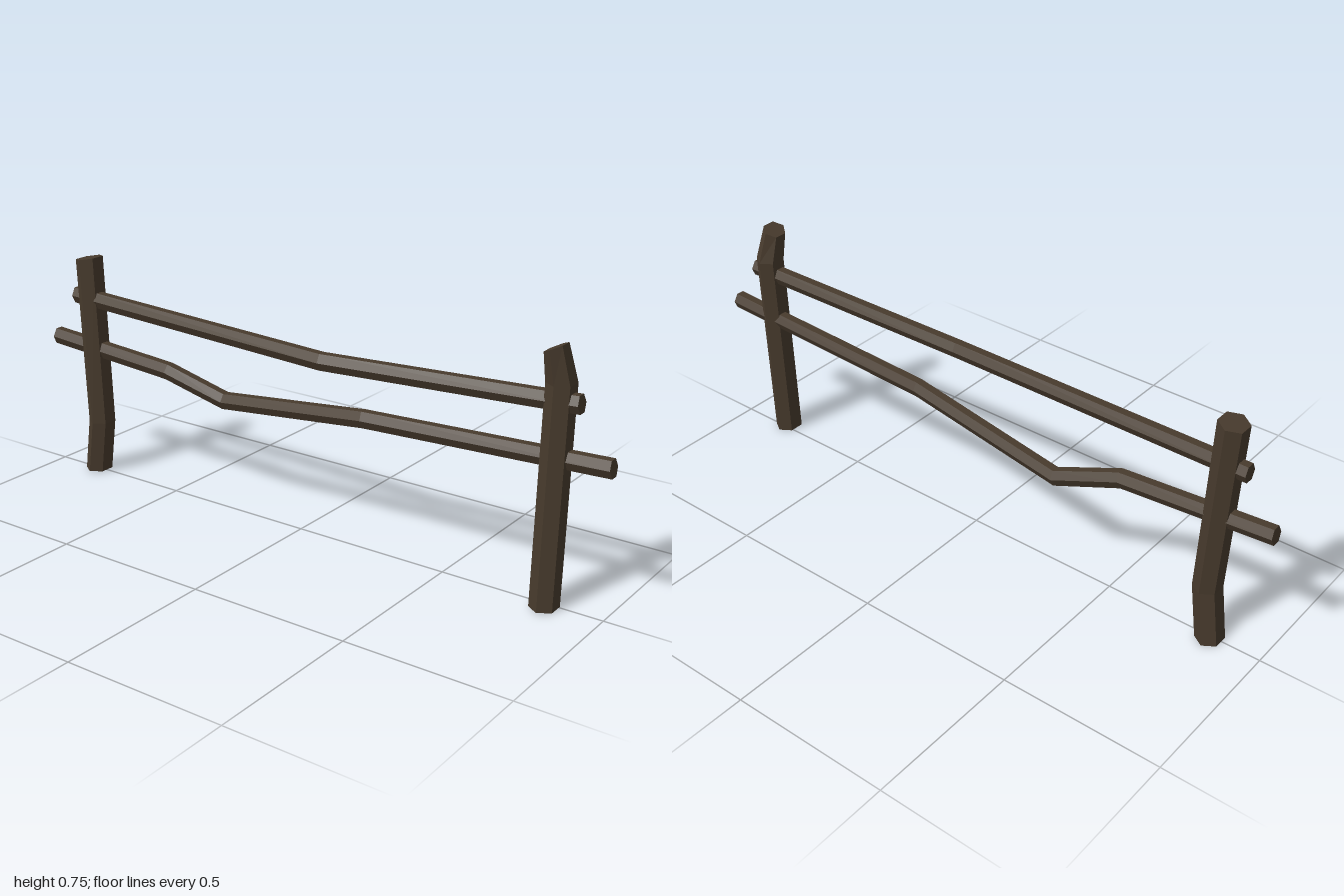
import * as THREE from 'three';

const SIDES = 6;

// Hexagonal timber lofted through rings. Each ring: [x, y, z, halfDepth (z), halfWidth, tilt].
// Rings lie across the y axis for posts and across the x axis for rails.
function timber(name, rings, upright, material) {
  const loops = rings.map(([x, y, z, depth, width, tilt = 0]) => {
    const loop = [];
    for (let k = 0; k < SIDES; k++) {
      const a = (k / SIDES) * Math.PI * 2;
      const across = (width * Math.sin(a)) / Math.sin(Math.PI / 3);
      const dz = depth * Math.cos(a);
      loop.push(upright
        ? new THREE.Vector3(x + across, y + tilt * across, z + dz)
        : new THREE.Vector3(x - tilt * across, y - across, z + dz));
    }
    return loop;
  });

  const points = [];
  // side faces
  for (let i = 0; i < loops.length - 1; i++) {
    for (let k = 0; k < SIDES; k++) {
      const n = (k + 1) % SIDES;
      const a = loops[i][k], b = loops[i][n], c = loops[i + 1][n], d = loops[i + 1][k];
      points.push(a, b, c, a, c, d);
    }
  }
  // end caps
  const first = loops[0], last = loops[loops.length - 1];
  for (let k = 1; k < SIDES - 1; k++) {
    points.push(first[0], first[k + 1], first[k]);
    points.push(last[0], last[k], last[k + 1]);
  }

  const geometry = new THREE.BufferGeometry().setFromPoints(points);
  geometry.computeVertexNormals();
  const mesh = new THREE.Mesh(geometry, material);
  mesh.name = name;
  return mesh;
}

export function createModel() {
  const group = new THREE.Group();
  group.name = 'fence';
  const wood = new THREE.MeshStandardMaterial({ color: 0x483b2d, flatShading: true });

  // crooked posts with slanted tops
  group.add(timber('leftPost', [
    [0.833, 0, 0.018, 0.047, 0.036],
    [0.833, 0.64, -0.003, 0.047, 0.036],
    [0.82, 0.738, 0.014, 0.039, 0.026, 0.48],
  ], true, wood));
  group.add(timber('rightPost', [
    [-0.842, 0, -0.003, 0.047, 0.036],
    [-0.818, 0.175, -0.003, 0.047, 0.036],
    [-0.841, 0.723, -0.003, 0.047, 0.037, 0.17],
  ], true, wood));

  // bent rails passing through the posts
  const rail = (name, path) => group.add(timber(name,
    path.map(([x, y, z, tilt = 0]) => [x, y, z, 0.025, 0.025, tilt]), false, wood));
  rail('upperRail', [
    [-0.902, 0.592, -0.003],
    [0.1, 0.566, 0.037],
    [0.894, 0.592, -0.003, -0.1],
  ]);
  rail('lowerRail', [
    [-0.998, 0.437, -0.003, 0.08],
    [-0.52, 0.403, -0.006, 0.2],
    [-0.32, 0.337, -0.038, 0.1],
    [0.22, 0.404, -0.006, -0.1],
    [0.995, 0.437, -0.003, -0.1],
  ]);

  return group;
}
